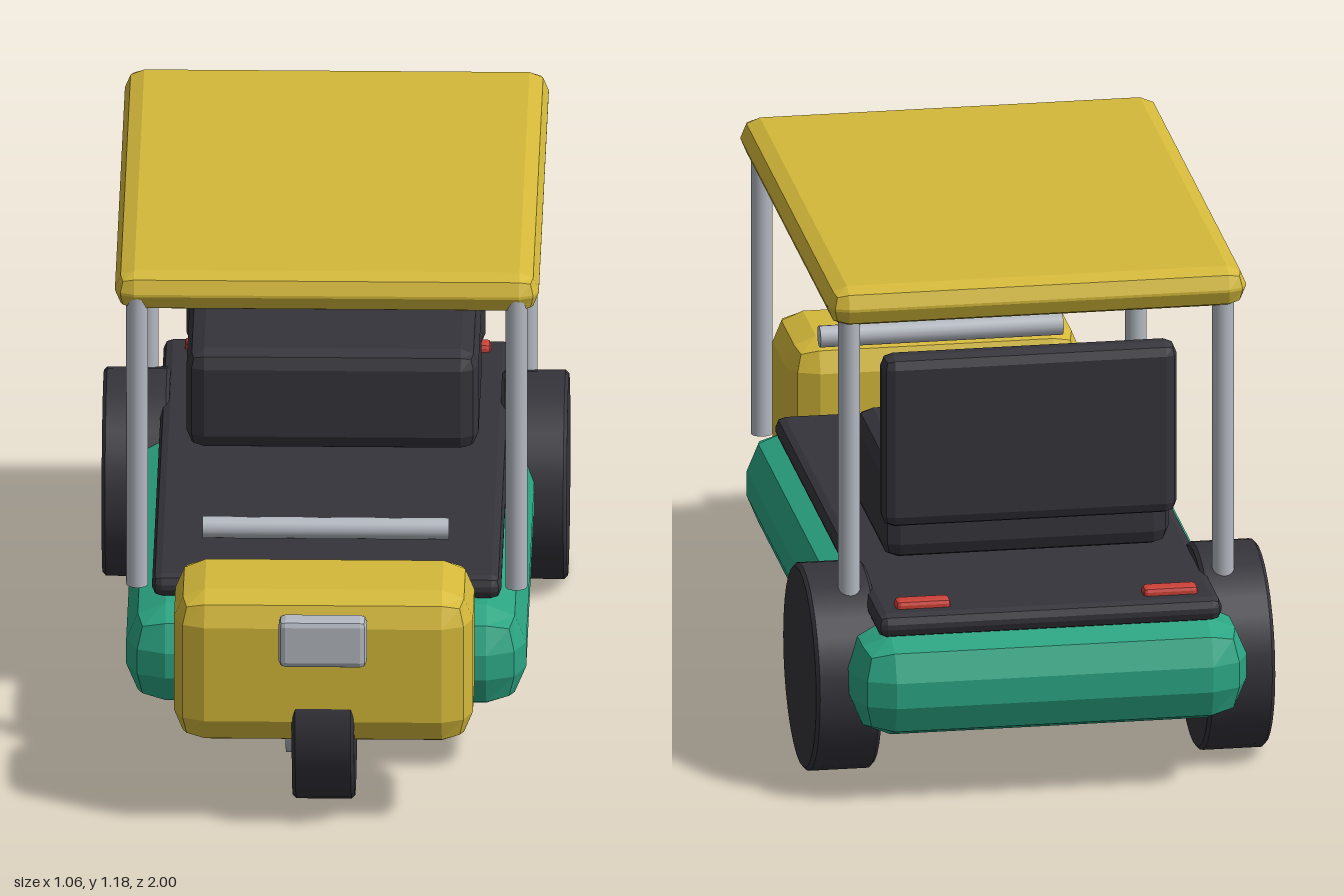
import * as THREE from 'three';
import { RoundedBoxGeometry } from 'three/addons/geometries/RoundedBoxGeometry.js';

const material = (name, color) => {
  const m = new THREE.MeshStandardMaterial({ color });
  m.name = name;
  return m;
};

export function createModel() {
  const yellow = material('yellow paint', 0xd4b93a);
  const green = material('green paint', 0x2ba583);
  const dark = material('dark rubber', 0x35343b);
  const silver = material('silver metal', 0xb4b9c1);
  const red = material('red lamp', 0xcc4238);

  const model = new THREE.Group();
  model.name = 'threeWheeledCart';

  function add(name, geometry, mat, x = 0, y = 0, z = 0) {
    const mesh = new THREE.Mesh(geometry, mat);
    mesh.name = name;
    mesh.position.set(x, y, z);
    model.add(mesh);
    return mesh;
  }

  // Box with faceted rounded edges, given by its extents
  function softBox(name, mat, [x0, x1], [y0, y1], [z0, z1], radius) {
    const geometry = new RoundedBoxGeometry(x1 - x0, y1 - y0, z1 - z0, 1, radius);
    geometry.computeVertexNormals();
    return add(name, geometry, mat, (x0 + x1) / 2, (y0 + y1) / 2, (z0 + z1) / 2);
  }

  // Cylinder lying along x
  function crossBar(name, mat, radius, x0, x1, y, z, sides) {
    const geometry = new THREE.CylinderGeometry(radius, radius, x1 - x0, sides);
    geometry.rotateZ(Math.PI / 2);
    return add(name, geometry, mat, (x0 + x1) / 2, y, z);
  }

  // Tyre along x: straight tread with slightly eased shoulders
  function tyre(name, radius, width, x, y, z) {
    const h = width / 2, e = 0.008;
    const profile = [[0, -h], [radius - e, -h], [radius - e, -h], [radius, -h + e], [radius, -h + e],
      [radius, h - e], [radius, h - e], [radius - e, h], [radius - e, h], [0, h]]
      .map(([r, t]) => new THREE.Vector2(r, t));
    const geometry = new THREE.LatheGeometry(profile, 32);
    geometry.rotateZ(Math.PI / 2);
    return add(name, geometry, dark, x, y, z);
  }

  // Chassis and floor
  softBox('body', green, [-0.455, 0.455], [0.16, 0.4], [-1, 0.637], 0.09);
  softBox('floor', dark, [-0.397, 0.397], [0.396, 0.452], [-0.937, 0.518], 0.022);

  // Nose, headlight and handlebar
  softBox('nose', yellow, [-0.34, 0.34], [0.204, 0.572], [0.635, 0.953], 0.07);
  softBox('headlight', silver, [-0.1, 0.1], [0.422, 0.538], [0.94, 1], 0.015);
  crossBar('handlebar', silver, 0.025, -0.28, 0.28, 0.606, 0.597, 16);

  // Bench
  softBox('seat', dark, [-0.332, 0.332], [0.47, 0.712], [-0.61, -0.187], 0.04);
  softBox('backrest', dark, [-0.34, 0.34], [0.565, 0.974], [-0.663, -0.585], 0.028);

  // Canopy on four posts
  softBox('roof', yellow, [-0.482, 0.482], [1.09, 1.184], [-0.785, 0.512], 0.044);
  for (const x of [-0.431, 0.431]) {
    for (const z of [0.485, -0.732]) {
      add('roofPost', new THREE.CylinderGeometry(0.025, 0.025, 0.71, 16), silver, x, 0.775, z);
    }
  }

  // Front wheel with its hub on one side
  tyre('frontWheel', 0.226, 0.142, 0, 0.243, 0.737);
  crossBar('frontHub', silver, 0.122, -0.087, -0.06, 0.243, 0.737, 24);

  // Rear wheels, inner hubs and tail lights
  for (const side of [-1, 1]) {
    tyre('rearWheel', 0.238, 0.152, side * 0.453, 0.24, -0.637);
    crossBar('rearHub', silver, 0.125, side * 0.375 - 0.015, side * 0.375 + 0.015, 0.24, -0.637, 24);
    softBox('tailLight', red, [side * 0.285 - 0.063, side * 0.285 + 0.063], [0.435, 0.47], [-0.892, -0.848], 0.01);
  }

  return model;
}
